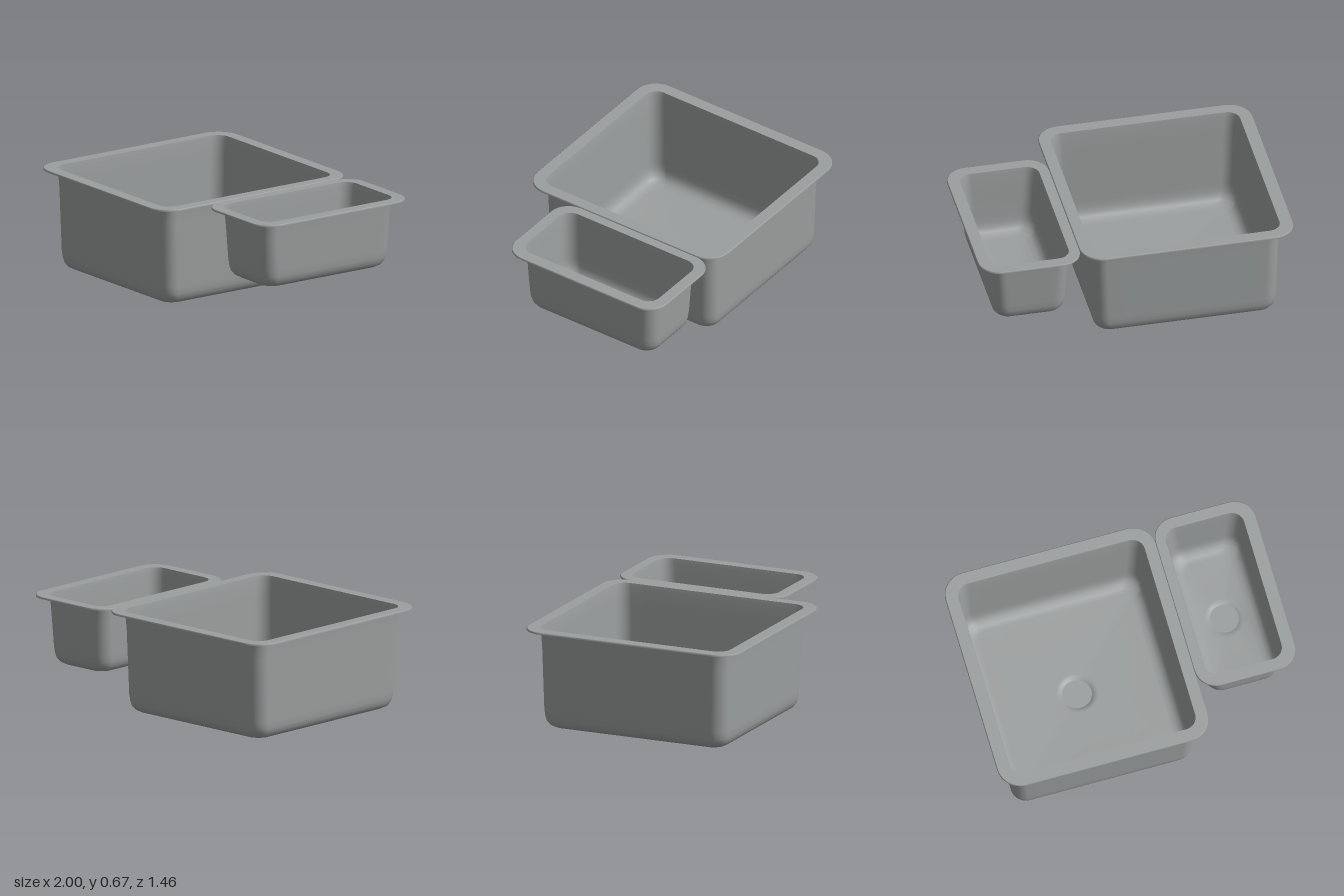
import * as THREE from 'three';

const steel = new THREE.MeshStandardMaterial({ color: 0x9c9f9f, side: THREE.DoubleSide });
steel.name = 'brushed steel';

const ARC = 8, SIDE = 10;

// Rounded rectangle in plan; every loop has the same number of points
function roundedLoop([x0, x1, z0, z1], inset, r, y) {
  const corners = [
    [x1 - inset - r, z1 - inset - r], [x0 + inset + r, z1 - inset - r],
    [x0 + inset + r, z0 + inset + r], [x1 - inset - r, z0 + inset + r],
  ];
  const pts = [];
  corners.forEach(([cx, cz], q) => {
    for (let i = 0; i <= ARC; i++) {
      const a = (q + i / ARC) * Math.PI / 2;
      pts.push(new THREE.Vector3(cx + r * Math.cos(a), y, cz + r * Math.sin(a)));
    }
    const [nx, nz] = corners[(q + 1) % 4];
    const a = (q + 1) * Math.PI / 2, from = pts[pts.length - 1];
    const to = new THREE.Vector3(nx + r * Math.cos(a), y, nz + r * Math.sin(a));
    for (let i = 1; i < SIDE; i++) pts.push(from.clone().lerp(to, i / SIDE));
  });
  return pts;
}

// Circle round the drain, its points aimed at those of the floor edge
function drainLoop(edge, [cx, cz], r, y) {
  return edge.map(p => {
    const a = Math.atan2(p.z - cz, p.x - cx);
    return new THREE.Vector3(cx + r * Math.cos(a), y, cz + r * Math.sin(a));
  });
}

// Skin a row of closed loops, ordered from the outside inwards
function loft(name, loops) {
  const n = loops[0].length, index = [];
  for (let i = 0; i < loops.length - 1; i++) {
    for (let j = 0; j < n; j++) {
      const a = i * n + j, b = i * n + (j + 1) % n;
      index.push(a, a + n, b, b, a + n, b + n);
    }
  }
  const geo = new THREE.BufferGeometry().setFromPoints(loops.flat());
  geo.setIndex(index);
  geo.computeVertexNormals();
  const mesh = new THREE.Mesh(geo, steel);
  mesh.name = name;
  return mesh;
}

function basin({ name, rim, rimRadius, opening, top, floor, drain, drainDrop }) {
  const g = new THREE.Group();
  g.name = name;

  // Flat flange with a small turned-down lip
  g.add(loft(name + 'RimLip', [
    roundedLoop(rim, 0, rimRadius, top - 0.012),
    roundedLoop(rim, 0, rimRadius, top - 0.004),
    roundedLoop(rim, 0.004, rimRadius - 0.004, top),
  ]));
  g.add(loft(name + 'Rim', [
    roundedLoop(rim, 0.004, rimRadius - 0.004, top),
    roundedLoop(opening, 0, 0.08, top),
  ]));

  // Tapered walls, rounded floor edge, floor falling to the drain
  const wall = [[0, 0.08, top], [0.004, 0.08, top - 0.03], [0.009, 0.082, top - 0.12],
    [0.018, 0.088, floor + 0.12], [0.022, 0.09, floor + 0.075], [0.029, 0.09, floor + 0.045],
    [0.045, 0.085, floor + 0.022], [0.07, 0.075, floor + 0.008], [0.105, 0.06, floor]];
  const loops = wall.map(([inset, r, y]) => roundedLoop(opening, inset, r, y));
  const edge = loops[loops.length - 1];
  const ring = (r, y) => drainLoop(edge, drain, r, y);
  const low = floor - drainDrop;
  loops.push(ring(0.13, floor - drainDrop * 0.35), ring(0.115, floor - drainDrop * 0.45),
    ring(0.103, floor - drainDrop * 0.7), ring(0.092, low));
  g.add(loft(name + 'Bowl', loops));

  // Drain disc
  const disc = new THREE.Mesh(new THREE.CircleGeometry(0.092, 40).rotateX(-Math.PI / 2), steel);
  disc.position.set(drain[0], low, drain[1]);
  disc.name = name + 'Drain';
  g.add(disc);
  return g;
}

export function createModel() {
  const model = new THREE.Group();
  model.name = 'doubleSink';
  model.add(basin({
    name: 'largeBasin', rim: [-1, 0.355, -0.73, 0.725], rimRadius: 0.145,
    opening: [-0.92, 0.28, -0.652, 0.645], top: 0.674, floor: 0.024,
    drain: [-0.32, 0], drainDrop: 0.024,
  }));
  model.add(basin({
    name: 'smallBasin', rim: [0.355, 1, -0.727, 0.42], rimRadius: 0.135,
    opening: [0.42, 0.922, -0.655, 0.345], top: 0.67, floor: 0.222,
    drain: [0.673, -0.155], drainDrop: 0.015,
  }));
  return model;
}
